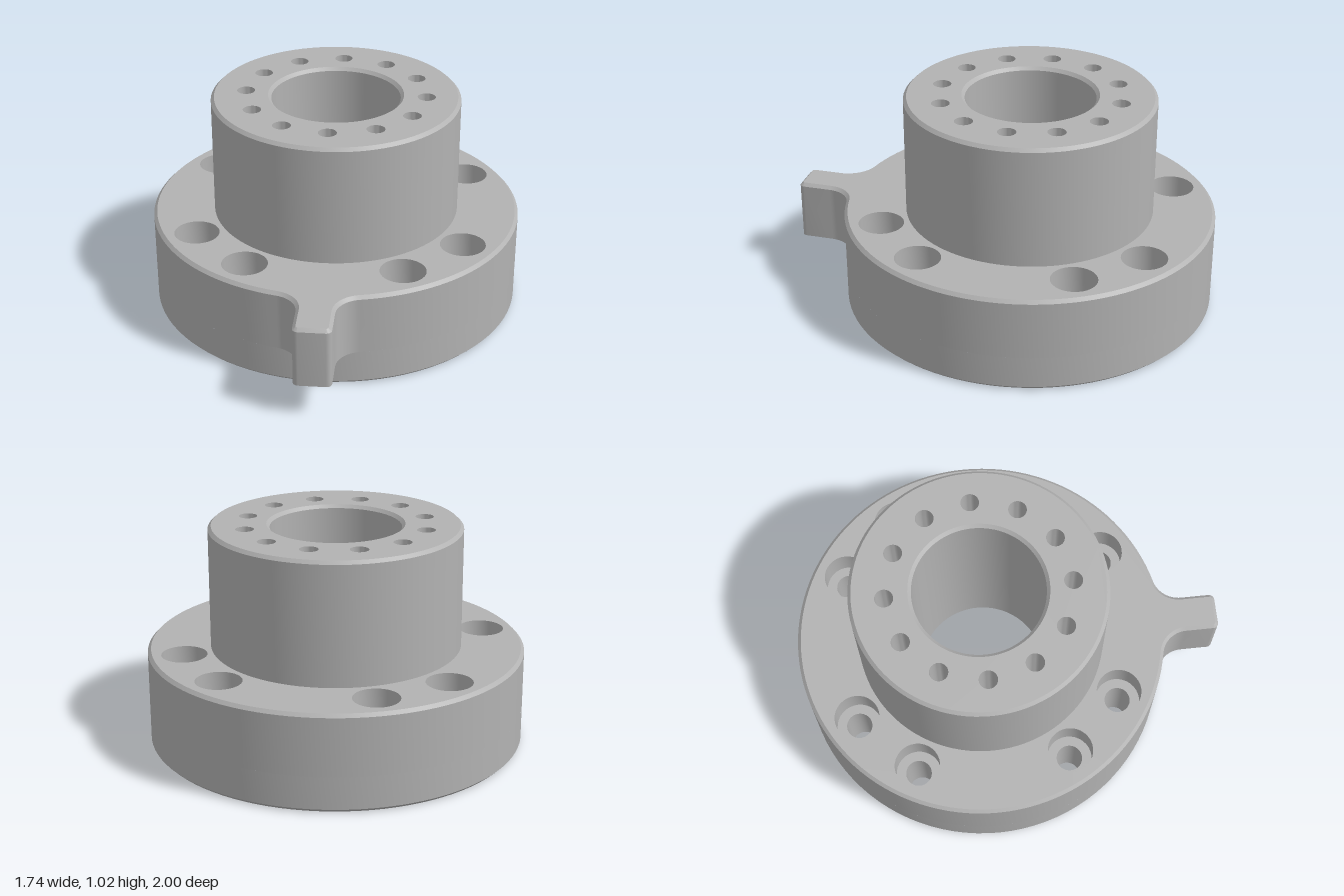
import * as THREE from 'three';
import { toCreasedNormals } from 'three/addons/utils/BufferGeometryUtils.js';

const R = 0.87, HUB = 0.58, BORE = 0.3, CH = 0.015;
const FLANGE_TOP = 0.45, HUB_TOP = 1.02, TAB_BOTTOM = 0.165;
const PIN_R = 0.042, PIN_RING = 0.42, BOLT_R = 0.06, SINK_R = 0.105, BOLT_RING = 0.71;

const arc = (cx, cz, r, a0, a1, n) => Array.from({ length: n + 1 }, (_, i) => {
  const a = a0 + (a1 - a0) * i / n;
  return new THREE.Vector2(cx + r * Math.cos(a), cz + r * Math.sin(a));
});
const mirrored = pts => pts.map(p => new THREE.Vector2(-p.x, p.y)).reverse();

// Centre of the fillet between flange and tab
const FX = 0.21, FZ = Math.sqrt((R + 0.125) ** 2 - FX ** 2), THETA = Math.atan2(FZ, FX);

// Right half of the tab, inset by d: tip corner, then fillet
function tabHalf(d) {
  const c = 0.025 - d, w = 0.085 - d, tip = 1.13 - d;
  return [
    ...arc(w - c, tip - c, c, Math.PI / 2, 0, 5),
    ...arc(FX, FZ, 0.125 + d, Math.PI, Math.PI + THETA, 14),
  ];
}

// Closed flange outline with tab, inset by d
function outline(d) {
  const half = [...tabHalf(d), ...arc(0, 0, R - d, THETA, -Math.PI / 2, 56).slice(1)];
  return [...half, ...mirrored(half).slice(1)];
}

// Wall through a stack of matching closed loops
function loft(levels) {
  const pos = [], index = [], n = levels[0].loop.length;
  for (const { loop, y } of levels) for (const p of loop) pos.push(p.x, y, p.y);
  for (let k = 0; k < levels.length - 1; k++) {
    for (let i = 0; i < n; i++) {
      const a = k * n + i, b = k * n + (i + 1) % n;
      index.push(a, b, a + n, b + n, a + n, b);
    }
  }
  const g = new THREE.BufferGeometry();
  g.setAttribute('position', new THREE.Float32BufferAttribute(pos, 3));
  g.setIndex(index);
  return toCreasedNormals(g, 0.5);
}

// Profile going up faces outward, going down faces inward
const turned = (pts, seg) => toCreasedNormals(
  new THREE.LatheGeometry(pts.map(p => new THREE.Vector2(...p)), seg), 0.5);

// Flat horizontal face with round holes [x, z, r]
function plate(pts, holes, y, up) {
  const s = up ? -1 : 1;
  const shape = new THREE.Shape(pts.map(p => new THREE.Vector2(p.x, s * p.y)));
  for (const [x, z, r] of holes) {
    const seg = r > 0.2 ? 96 : 32;
    shape.holes.push(new THREE.Path(arc(x, s * z, r, 0, Math.PI * 2, seg).slice(0, -1)));
  }
  return new THREE.ShapeGeometry(shape).rotateX(s * Math.PI / 2).translate(0, y, 0);
}
const disc = r => arc(0, 0, r, 0, Math.PI * 2, 96).slice(0, -1);

export function createModel() {
  const root = new THREE.Group();
  root.name = 'flangedHub';
  const steel = new THREE.MeshStandardMaterial({ color: 0xb2b2b2 });
  steel.name = 'grey steel';
  const body = new THREE.Group();
  body.name = 'body';
  body.position.z = -0.13;
  root.add(body);
  const add = (name, geometry, x = 0, z = 0) => {
    const m = new THREE.Mesh(geometry, steel);
    m.name = name;
    m.position.set(x, 0, z);
    body.add(m);
  };

  // Hole positions: 12 pin holes, 8 bolt holes in pairs
  const pins = [], bolts = [];
  for (let k = 0; k < 12; k++) {
    const c = Math.cos(k * Math.PI / 6), s = Math.sin(k * Math.PI / 6);
    pins.push([PIN_RING * c, PIN_RING * s, PIN_R]);
    if (k % 3) bolts.push([BOLT_RING * c, BOLT_RING * s, BOLT_R]);
  }
  const sinks = bolts.map(([x, z]) => [x, z, SINK_R]);

  // Flange
  add('flangeBottom', plate(disc(R - CH), [[0, 0, BORE], ...pins, ...bolts], 0, false));
  add('flangeLowerWall', turned([[R - CH, 0], [R, CH], [R, TAB_BOTTOM]], 96));
  add('flangeUpperWall', loft([
    { loop: outline(0), y: TAB_BOTTOM },
    { loop: outline(0), y: FLANGE_TOP - CH },
    { loop: outline(CH), y: FLANGE_TOP },
  ]));
  add('flangeTop', plate(outline(CH), [[0, 0, HUB], ...sinks], FLANGE_TOP, true));

  // Underside of the locating tab
  const half = tabHalf(0);
  const inner = arc(0, 0, R, Math.PI - THETA, THETA, 12).slice(1, -1);
  add('tabUnderside', plate([...half.slice().reverse(), ...mirrored(half).reverse(), ...inner],
    [], TAB_BOTTOM, false));

  // Hub and bore
  add('hubWall', turned([[HUB, FLANGE_TOP], [HUB, HUB_TOP - CH], [HUB - CH, HUB_TOP]], 96));
  add('hubTop', plate(disc(HUB - CH), [[0, 0, BORE + CH], ...pins], HUB_TOP, true));
  add('bore', turned([[BORE + CH, HUB_TOP], [BORE, HUB_TOP - CH], [BORE, 0]], 96));

  // Hole walls
  const pinGeo = turned([[PIN_R, HUB_TOP], [PIN_R, 0]], 32);
  for (const [x, z] of pins) add('pinHole', pinGeo, x, z);
  const boltGeo = turned([[SINK_R, FLANGE_TOP], [SINK_R, 0.31], [BOLT_R, 0.31], [BOLT_R, 0]], 32);
  for (const [x, z] of bolts) add('counterboredBoltHole', boltGeo, x, z);

  return root;
}
